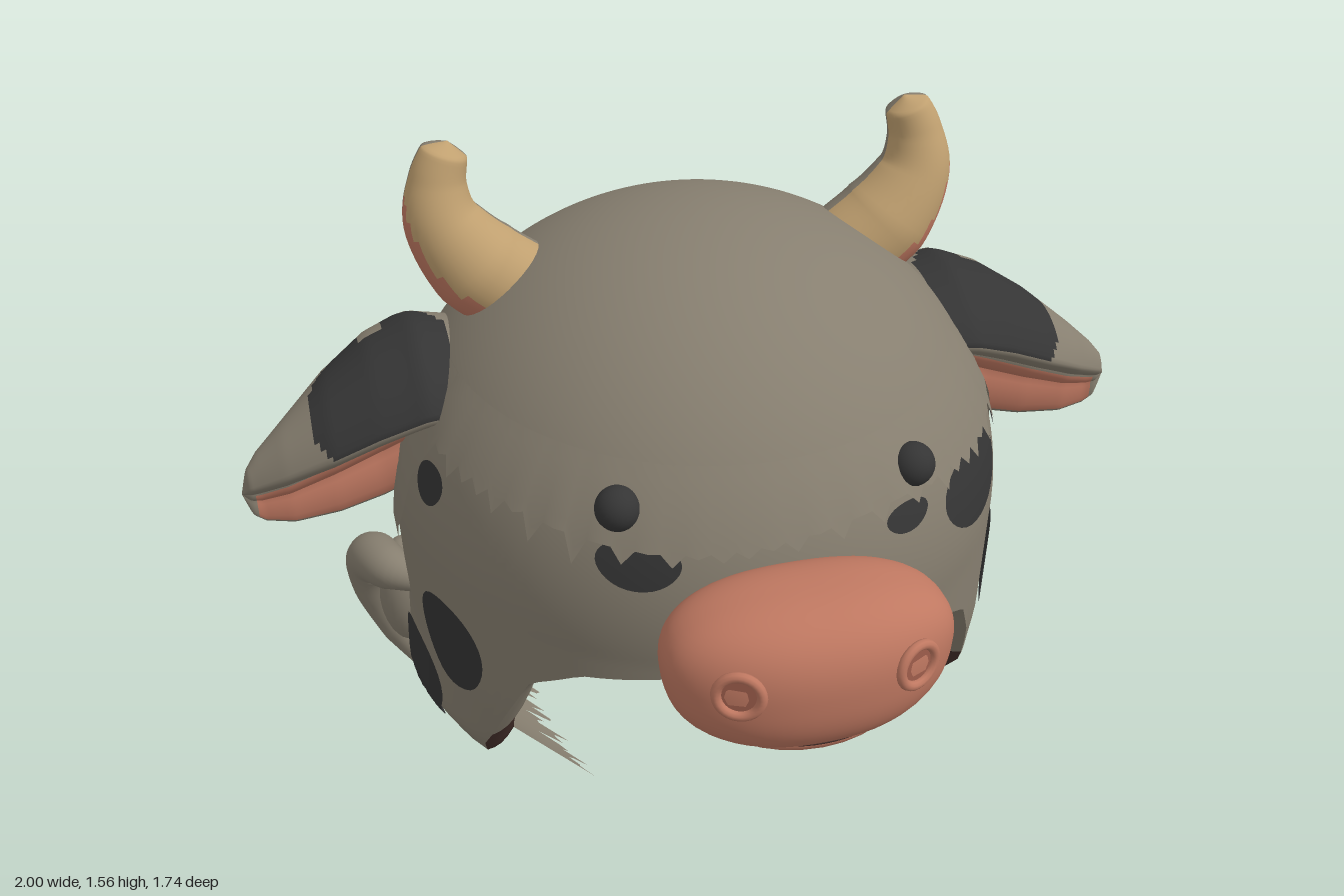
import * as THREE from 'three';
import { mergeVertices } from 'three/addons/utils/BufferGeometryUtils.js';

const paint = (name, color) => new THREE.MeshStandardMaterial({ name, color, side: THREE.DoubleSide });
const hide = paint('taupe hide', 0x877f70);
const black = paint('black patch', 0x353535);
const salmon = paint('salmon skin', 0xbf7861);
const nostrilPaint = paint('dark salmon', 0x9c5c4b);
const tan = paint('tan horn', 0xc0a070);
const brown = paint('brown lining', 0x45302b);

const { sin, cos, abs, sqrt, min, max, PI } = Math;

// Piecewise-linear lookup in [x, y] pairs sorted by x
function look(table, x) {
  if (x <= table[0][0]) return table[0][1];
  for (let i = 1; i < table.length; i++) {
    const [x1, y1] = table[i], [x0, y0] = table[i - 1];
    if (x <= x1) return y0 + (y1 - y0) * (x - x0) / (x1 - x0);
  }
  return table[table.length - 1][1];
}

// Smooth surface from a rule, with faces grouped by material
function grid(name, nu, nv, point, mats, pick = () => 0) {
  const pos = [], lists = mats.map(() => []);
  for (let j = 0; j <= nv; j++)
    for (let i = 0; i <= nu; i++) pos.push(...point(i / nu, j / nv));
  for (let j = 0; j < nv; j++)
    for (let i = 0; i < nu; i++) {
      const a = j * (nu + 1) + i, b = a + nu + 1;
      lists[pick((i + 0.5) / nu, (j + 0.5) / nv)].push(a, b, b + 1, a, b + 1, a + 1);
    }
  let geo = new THREE.BufferGeometry();
  geo.setAttribute('position', new THREE.Float32BufferAttribute(pos, 3));
  geo.setIndex(lists.flat());
  let start = 0;
  lists.forEach((l, k) => { geo.addGroup(start, l.length, k); start += l.length; });
  geo = mergeVertices(geo, 1e-5);
  geo.computeVertexNormals();
  const mesh = new THREE.Mesh(geo, mats.length > 1 ? mats : mats[0]);
  mesh.name = name;
  return mesh;
}

// Hood cross-section at each height; angle 0 faces the front
const TOP = 1.42, MID = 0.75;
const lowWidth = [[0.1, 0.46], [0.15, 0.56], [0.22, 0.64], [0.32, 0.685], [0.5, 0.675], [0.75, 0.68]];
const lowFront = [[0.1, 0.46], [0.15, 0.5], [0.3, 0.62], [0.5, 0.74], [0.75, 0.75]];
const lowBack = [[0.1, 0.5], [0.13, 0.58], [0.2, 0.645], [0.32, 0.685], [0.45, 0.69], [0.55, 0.675], [0.6, 0.685], [0.75, 0.7]];
const edgeTable = [[0, 0.725], [0.35, 0.72], [0.6, 0.69], [0.78, 0.62], [0.88, 0.5], [0.95, 0.35],
  [1.05, 0.22], [1.2, 0.165], [1.5, 0.14], [2, 0.12], [PI, 0.11]];
const edge = a => look(edgeTable, abs(a));
const centre = y => y > MID ? -0.17 + 0.09 * (y - MID) / (TOP - MID) : -0.17;

function hood(a, y, grow = 1) {
  const s = y > MID ? sqrt(max(0, 1 - ((y - MID) / (TOP - MID)) ** 2)) : 1;
  const w = look(lowWidth, y) * s * grow;
  const d = look(cos(a) > 0 ? lowFront : lowBack, y) * s * grow;
  return [w * sin(a), y, centre(y) + d * cos(a)];
}
const angle = u => (u * 2 - 1) * PI;
const shellY = (a, v) => edge(a) + (TOP - edge(a)) * cos(v * PI / 2);
const inset = a => 0.9 - 0.13 * abs(a) / PI;
const innerEdge = a => edge(a) + 0.02 + 0.09 * (abs(a) / PI) ** 2;
const liningY = (a, v) => TOP + (innerEdge(a) - TOP) * (1 - cos((1 - v) * PI / 2));
const innerPoint = (a, y) => {
  const p = hood(a, y, inset(a));
  if (y > MID) p[1] = MID + (y - MID) * 0.9;
  return p;
};

// Black patch lying on the hood
function patch(a, y, ra, ry) {
  return grid('blackPatch', 32, 6, (u, v) => {
    const t = u * 2 * PI, r = v * (1 + 0.04 * sin(3 * t));
    return hood(a + ra * r * cos(t), y + ry * r * sin(t), 1.01);
  }, [black]);
}

// Round sweep along a curve with changing radius
function sweep(name, points, radii, ref, mats, pick) {
  const curve = new THREE.CatmullRomCurve3(points.map(p => new THREE.Vector3(...p)));
  const rTable = radii.map((r, i) => [i / (radii.length - 1), r]);
  const up = new THREE.Vector3(...ref);
  return grid(name, 32, 36, (u, v) => {
    const t = curve.getTangent(v), n = t.clone().cross(up).normalize(), b = n.clone().cross(t);
    const r = look(rTable, v), th = u * 2 * PI;
    return curve.getPoint(v).addScaledVector(n, r * cos(th)).addScaledVector(b, r * sin(th)).toArray();
  }, mats, pick);
}

function ellipsoid(name, material, size, at) {
  const mesh = new THREE.Mesh(new THREE.SphereGeometry(1, 28, 18), material);
  mesh.name = name;
  mesh.scale.set(...size);
  mesh.position.set(...at);
  return mesh;
}

// Ear outline: top, bottom, front and back limits against x
const earTop = [[0.5, 1.17], [0.6, 1.185], [0.7, 1.15], [0.8, 1.09], [0.9, 1.01], [0.96, 0.955], [0.985, 0.925], [1, 0.87]];
const earBottom = [[0.5, 0.88], [0.6, 0.83], [0.7, 0.79], [0.8, 0.775], [0.9, 0.775], [0.96, 0.79], [0.985, 0.815], [1, 0.865]];
const earFront = [[0.5, 0.05], [0.6, 0.055], [0.7, 0.04], [0.8, 0.02], [0.9, -0.03], [0.98, -0.08], [1, -0.11]];
const earBack = [[0.5, -0.38], [0.63, -0.42], [0.7, -0.4], [0.8, -0.33], [0.9, -0.23], [0.96, -0.18], [1, -0.12]];
const earX = v => 1 - 0.5 * (1 - v) ** 1.5;
const EAR_OPEN = -0.52;

// Parts of the model's left side; the right side is mirrored
function sideParts() {
  const g = new THREE.Group();

  // Horn: tan front, salmon at the lower outside, hide at the back
  g.add(sweep('horn',
    [[0.37, 1.24, -0.19], [0.455, 1.31, -0.19], [0.515, 1.41, -0.2], [0.515, 1.49, -0.21], [0.495, 1.55, -0.215], [0.487, 1.572, -0.215]],
    [0.105, 0.105, 0.08, 0.06, 0.048, 0], [0, 0, 1], [tan, salmon, hide],
    (u, v) => sin(u * 2 * PI) < 0 ? 2 : cos(u * 2 * PI) > 0.2 + v * 1.5 ? 1 : 0));

  // Drooping ear, hollow on the front: salmon below, hide above
  g.add(grid('ear', 96, 48, (u, v) => {
    const x = earX(v), off = (u * 2 - 1) * PI, th = EAR_OPEN + off;
    const k = 1 - 0.62 * min(1, max(0, (0.88 - abs(off)) / 0.35));
    const t = look(earTop, x), b = look(earBottom, x), f = look(earFront, x), r = look(earBack, x);
    return [x, (t + b) / 2 + k * (t - b) / 2 * sin(th), (f + r) / 2 + k * (f - r) / 2 * cos(th)];
  }, [hide, salmon, black], (u, v) => {
    const off = (u * 2 - 1) * PI, th = EAR_OPEN + off, x = earX(v);
    if (off > -0.84 && off < 0.3 && x < 0.975) return 1;
    const notch = x > 0.66 && x < 0.72 && th > 1.75;
    return th > 0.38 && !notch && (abs(th - 1.2) / 0.95) ** 3 + (abs(x - 0.68) / 0.155) ** 3 < 1 ? 2 : 0;
  }));

  // Curled lower ear with a filled bowl
  g.add(sweep('curledLowerEar',
    [[0.64, 0.54, -0.15], [0.71, 0.56, -0.19], [0.745, 0.53, -0.28], [0.735, 0.43, -0.31], [0.69, 0.32, -0.28], [0.64, 0.25, -0.2]],
    [0.03, 0.052, 0.063, 0.065, 0.058, 0.03], [1, 0, 0], [hide]));
  g.add(ellipsoid('lowerEarBowl', hide, [0.07, 0.15, 0.07], [0.675, 0.44, -0.26]));

  g.add(ellipsoid('eye', black, [0.045, 0.045, 0.045], [0.295, 1.08, 0.44]));

  // Nostril
  const nostril = new THREE.Group();
  nostril.name = 'nostril';
  nostril.add(new THREE.Mesh(new THREE.TorusGeometry(0.042, 0.01, 10, 28), salmon));
  nostril.add(new THREE.Mesh(new THREE.CircleGeometry(0.04, 24), nostrilPaint));
  nostril.position.set(0.168, 0.92, 0.837);
  nostril.rotation.set(-0.08, 0.42, 0);
  g.add(nostril);

  // Spots on the cheek and by the ear
  g.add(patch(1.13, 0.59, 0.165, 0.115), patch(1.4, 0.36, 0.2, 0.13), patch(1.25, 0.96, 0.08, 0.045));

  // Ragged hair under the jaw, slanting inwards as it drops
  const n = 60;
  g.add(grid('raggedHair', n, 5, (u, v) => {
    const a = 1.15 + u * 1.25, i = Math.round(u * n);
    const [x, , z] = hood(a, 0.2, 0.86);
    const ragged = 0.025 * (1 + sin(i * 2.3)) * min(1, i / 4) + 0.02 * (1 + sin(i * 0.9));
    const drop = max(0.02, 0.2 - 0.13 * u - ragged) * v;
    return [x * (1 - 2.1 * drop), 0.2 - drop, z + 0.15 * drop];
  }, [hide]));
  return g;
}

export function createModel() {
  const model = new THREE.Group();
  model.name = 'cowHood';

  // Outer shell, rounded lip and lining of the hood
  model.add(grid('hoodShell', 160, 60, (u, v) => {
    const a = angle(u);
    return hood(a, shellY(a, v));
  }, [hide, brown], (u, v) => {
    const a = abs(angle(u));
    return a > 1.15 && a < 1.8 && shellY(a, v) < 0.185 + 0.012 * sin(a * 40) ? 1 : 0;
  }));
  model.add(grid('hoodLip', 160, 4, (u, v) => {
    const a = angle(u), p = hood(a, edge(a)), q = innerPoint(a, innerEdge(a));
    return p.map((c, k) => c + (q[k] - c) * v - (k === 1 ? 0.015 * sin(v * PI) : 0));
  }, [hide, brown], u => abs(angle(u)) > 0.95 && abs(angle(u)) < 1.9 ? 1 : 0));
  model.add(grid('hoodLining', 160, 40, (u, v) => {
    const a = angle(u);
    return innerPoint(a, liningY(a, v));
  }, [hide, brown], (u, v) => {
    const a = abs(angle(u)), y = liningY(a, v);
    const limit = look([[0.2, 2.2], [0.4, 2.3], [0.5, 2.1], [0.6, 1.6]], y) + 0.07 * sin(y * 70);
    return a > 0.8 && a < limit && y < 0.62 ? 1 : 0;
  }));

  // Ragged forelock over the brow, hanging lower by the ears
  const teeth = 80;
  model.add(grid('forelock', teeth, 6, (u, v) => {
    const a = (u * 2 - 1) * 1.5, i = Math.round(u * teeth);
    const size = abs(a) > 0.5 ? 0.055 : 0.03;
    const low = 1.03 + 0.015 * sin(a * 4) - (i % 2 ? size * (0.5 + 0.5 * sin(i * 1.7)) : 0)
      - 0.27 * min(1, max(0, (abs(a) - 1.32) / 0.08));
    return hood(a, 1.16 + (low - 1.16) * v, 1 + 0.018 * v);
  }, [hide]));

  // Muzzle: a plump rounded block, narrower below
  const raw = new THREE.SphereGeometry(1, 56, 36);
  raw.deleteAttribute('uv');
  raw.deleteAttribute('normal');
  const plump = mergeVertices(raw), p = plump.attributes.position;
  for (let i = 0; i < p.count; i++) {
    let [x, y, z] = [p.getX(i), p.getY(i), p.getZ(i)];
    const k = (abs(x) ** 2.5 + abs(y) ** 2.5 + abs(z) ** 2.5) ** -0.4;
    x *= k; y *= k; z *= k;
    p.setXYZ(i, 0.278 * x * (1 + 0.06 * y), 0.885 + 0.157 * y, 0.71 + 0.16 * z - 0.035 * x * x * max(z, 0));
  }
  plump.computeVertexNormals();
  const muzzle = new THREE.Mesh(plump, salmon);
  muzzle.name = 'muzzle';
  model.add(muzzle);

  // Lower lip and mouth line
  model.add(ellipsoid('lowerLip', salmon, [0.19, 0.05, 0.14], [0, 0.762, 0.69]));
  model.add(ellipsoid('mouth', brown, [0.09, 0.01, 0.03], [0, 0.768, 0.805]));

  // Uneven patches around the face
  model.add(patch(0.83, 0.95, 0.22, 0.085), patch(0.44, 1.0, 0.09, 0.03), patch(-0.44, 0.985, 0.13, 0.05));

  // Mirrored side parts
  for (const s of [1, -1]) {
    const side = sideParts();
    side.name = s > 0 ? 'leftSide' : 'rightSide';
    side.scale.x = s;
    model.add(side);
  }
  return model;
}
